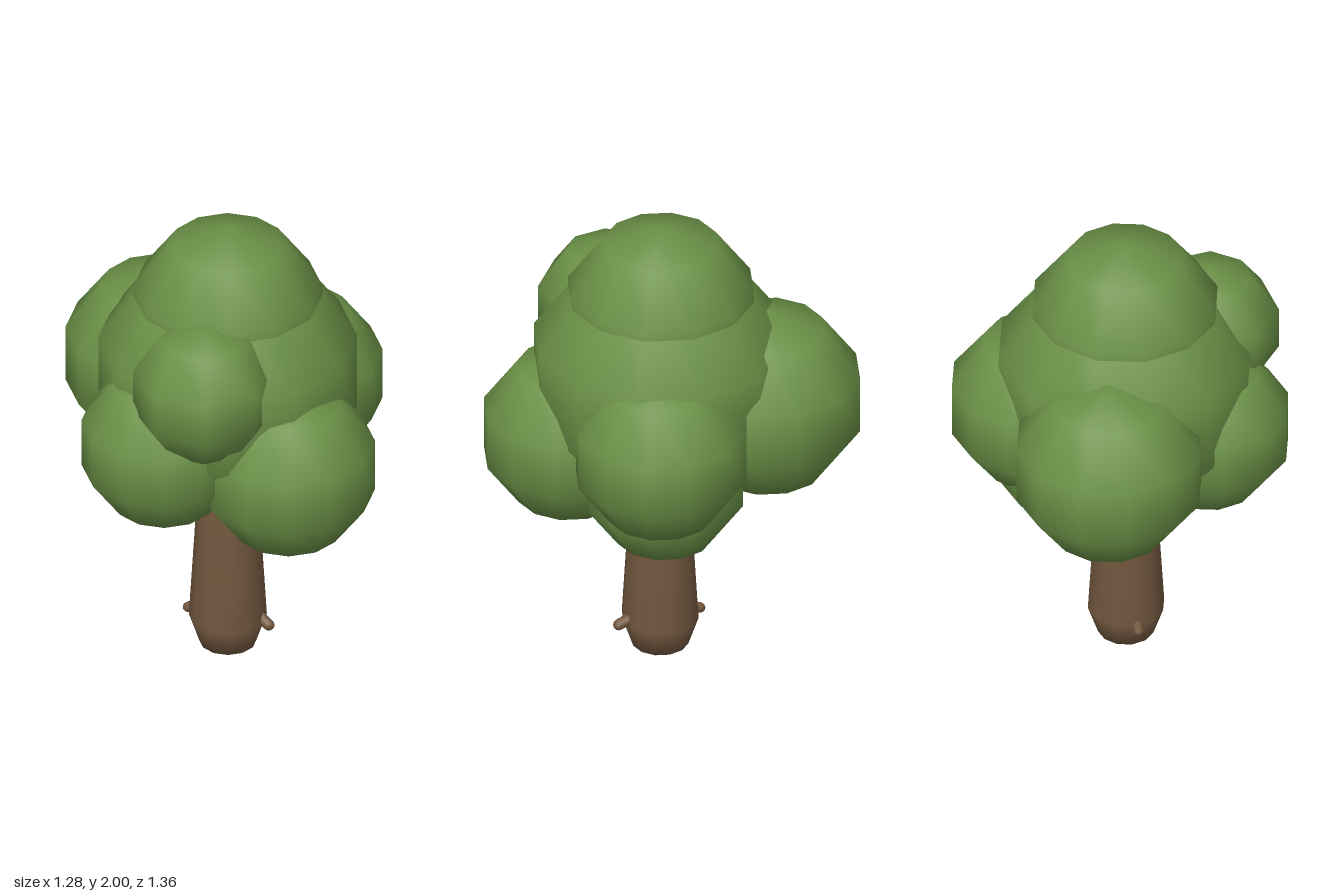
import * as THREE from 'three';

export function createModel() {
  const tree = new THREE.Group();
  tree.name = 'tree';

  const leafGreen = new THREE.MeshStandardMaterial({ color: 0x6a9046 });
  leafGreen.name = 'leaf green';
  const barkBrown = new THREE.MeshStandardMaterial({ color: 0x73583f });
  barkBrown.name = 'bark brown';

  const add = (name, geometry, material) => {
    const mesh = new THREE.Mesh(geometry, material);
    mesh.name = name;
    tree.add(mesh);
    return mesh;
  };

  // Trunk: tapered column with a blunt rounded foot, running up into the crown
  const profile = [[0, 0], [0.115, 0.05], [0.157, 0.175], [0.125, 0.72], [0.11, 0.98], [0, 1.02]]
    .map(([r, y]) => new THREE.Vector2(r, y));
  add('trunk', new THREE.LatheGeometry(profile, 12), barkBrown).position.set(0.01, 0, 0.035);

  // Stubs of broken twigs low on each side of the trunk
  const addStub = (name, from, to, radius) => {
    const a = new THREE.Vector3(...from), b = new THREE.Vector3(...to);
    const dir = b.clone().sub(a);
    const stub = add(name, new THREE.CapsuleGeometry(radius, dir.length(), 3, 8), barkBrown);
    stub.position.copy(a).add(b).multiplyScalar(0.5);
    stub.quaternion.setFromUnitVectors(new THREE.Vector3(0, 1, 0), dir.normalize());
  };
  addStub('leftTwigStub', [0.13, 0.2, 0.08], [0.174, 0.17, 0.115], 0.023);
  addStub('rightTwigStub', [-0.1, 0.185, -0.01], [-0.149, 0.162, -0.04], 0.022);

  // Crown: overlapping coarse spheres [name, x, y, z, radius, sides]
  const clumps = [
    ['crownCore', 0.01, 1.32, 0.03, 0.547, 12],
    ['crownTop', 0.01, 1.6, 0.03, 0.4, 12],
    ['backRightClump', -0.26, 1.205, -0.3, 0.4, 12],
    ['backLeftClump', 0.285, 1.165, -0.2, 0.368, 12],
    ['frontLeftClump', 0.25, 1.047, 0.31, 0.368, 12],
    ['frontRightClump', -0.25, 1.12, 0.245, 0.347, 12],
    ['frontUpperClump', -0.09, 1.455, 0.39, 0.3, 8],
    ['lowerBackClump', 0.145, 0.935, -0.1, 0.338, 12],
  ];
  for (const [name, x, y, z, radius, sides] of clumps) {
    add(name, new THREE.SphereGeometry(radius, sides, 5), leafGreen).position.set(x, y, z);
  }

  return tree;
}
